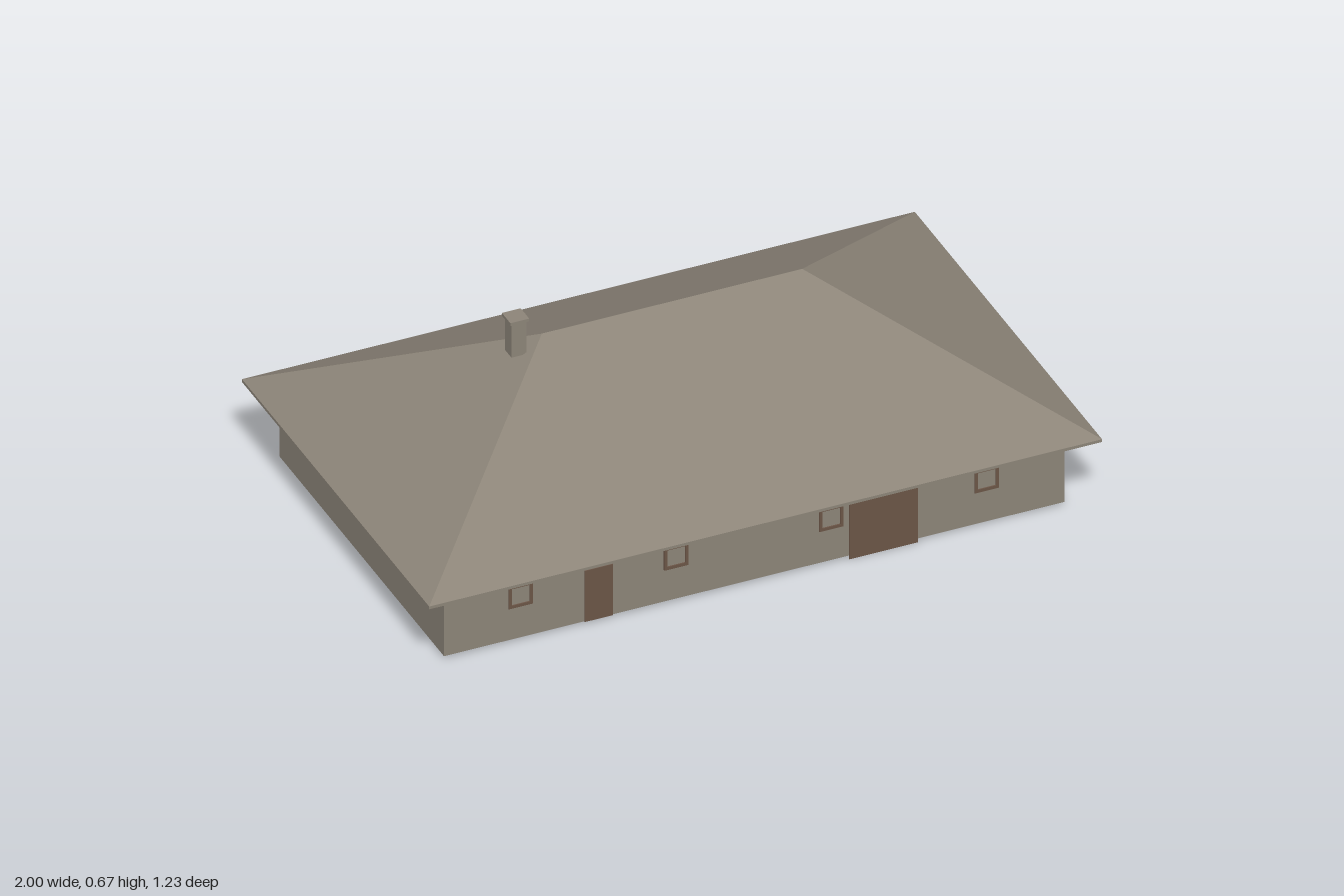
import * as THREE from 'three';

const grey = new THREE.MeshStandardMaterial({ color: 0x8c8478 });
grey.name = 'weathered grey';
grey.side = THREE.DoubleSide;
const brown = new THREE.MeshStandardMaterial({ color: 0x6b5546 });
brown.name = 'timber brown';

// Main dimensions
const WALL_X = 0.922, WALL_Z = 0.54, BASE = 0.01;
const EAVE_X = 1, EAVE_Z = 0.615, EAVE_BOTTOM = 0.228, EAVE_TOP = 0.237;
const RIDGE_X = 0.387, RIDGE_Y = 0.587;
const SKIN = 0.004;

// Mesh made of flat quads, corners counter-clockwise from outside
function quadMesh(name, quads, material) {
  const points = quads.flatMap(([a, b, c, d]) => [a, b, c, a, c, d]);
  const geometry = new THREE.BufferGeometry();
  geometry.setAttribute('position', new THREE.Float32BufferAttribute(points.flat(), 3));
  geometry.computeVertexNormals();
  const mesh = new THREE.Mesh(geometry, material);
  mesh.name = name;
  return mesh;
}

// Rectangle corners at one height, running front-left to front-right and round the back
const ring = (x, y, z) => [[-x, y, z], [x, y, z], [x, y, -z], [-x, y, -z]];

// Band of four quads between a lower and an upper ring
const band = (low, high) =>
  low.map((p, i) => [p, low[(i + 1) % 4], high[(i + 1) % 4], high[i]]);

function box(name, x0, x1, y0, y1, z0, z1, material) {
  const mesh = new THREE.Mesh(new THREE.BoxGeometry(x1 - x0, y1 - y0, z1 - z0), material);
  mesh.position.set((x0 + x1) / 2, (y0 + y1) / 2, (z0 + z1) / 2);
  mesh.name = name;
  return mesh;
}

// Thin square frame with an open centre
function windowFrame(name) {
  const w = 0.036, t = 0.009;
  const square = (s) => [[-s, -s], [s, -s], [s, s], [-s, s]].map(([x, y]) => new THREE.Vector2(x, y));
  const shape = new THREE.Shape(square(w));
  shape.holes.push(new THREE.Path(square(w - t).reverse()));
  const geometry = new THREE.ExtrudeGeometry(shape, { depth: SKIN, bevelEnabled: false });
  const mesh = new THREE.Mesh(geometry, brown);
  mesh.name = name;
  return mesh;
}

export function createModel() {
  const house = new THREE.Group();
  house.name = 'house';

  // Walls, open underneath
  house.add(quadMesh('walls',
    band(ring(WALL_X, BASE, WALL_Z), ring(WALL_X, EAVE_BOTTOM, WALL_Z)), grey));

  // Hipped roof with a thin fascia; the upper ring collapses to the ridge line
  const eave = ring(EAVE_X, EAVE_TOP, EAVE_Z);
  house.add(quadMesh('fascia', band(ring(EAVE_X, EAVE_BOTTOM, EAVE_Z), eave), grey));
  house.add(quadMesh('roof', band(eave, ring(RIDGE_X, RIDGE_Y, 0)), grey));

  // Underside of the roof, facing down
  house.add(quadMesh('soffit', [ring(EAVE_X, EAVE_BOTTOM, EAVE_Z).reverse()], brown));

  // Chimney on the right hip
  const chimney = new THREE.Group();
  chimney.name = 'chimney';
  chimney.add(box('chimneyShaft', -0.487, -0.443, 0.549, 0.657, -0.022, 0.022, grey));
  chimney.add(box('chimneyCap', -0.493, -0.437, 0.657, 0.666, -0.028, 0.028, grey));
  house.add(chimney);

  // Doors on the front wall
  house.add(box('smallDoor', -0.505, -0.421, BASE, 0.175, WALL_Z, WALL_Z + SKIN, brown));
  house.add(box('largeDoor', 0.281, 0.485, 0, 0.21, WALL_Z, WALL_Z + SKIN, brown));

  // Windows: four on the front, two on the right end
  for (const x of [-0.695, -0.233, 0.228, 0.69]) {
    const frame = windowFrame('frontWindow');
    frame.position.set(x, 0.148, WALL_Z);
    house.add(frame);
  }
  for (const z of [-0.27, 0.27]) {
    const frame = windowFrame('sideWindow');
    frame.rotation.y = -Math.PI / 2;
    frame.position.set(-WALL_X, 0.148, z);
    house.add(frame);
  }

  return house;
}
